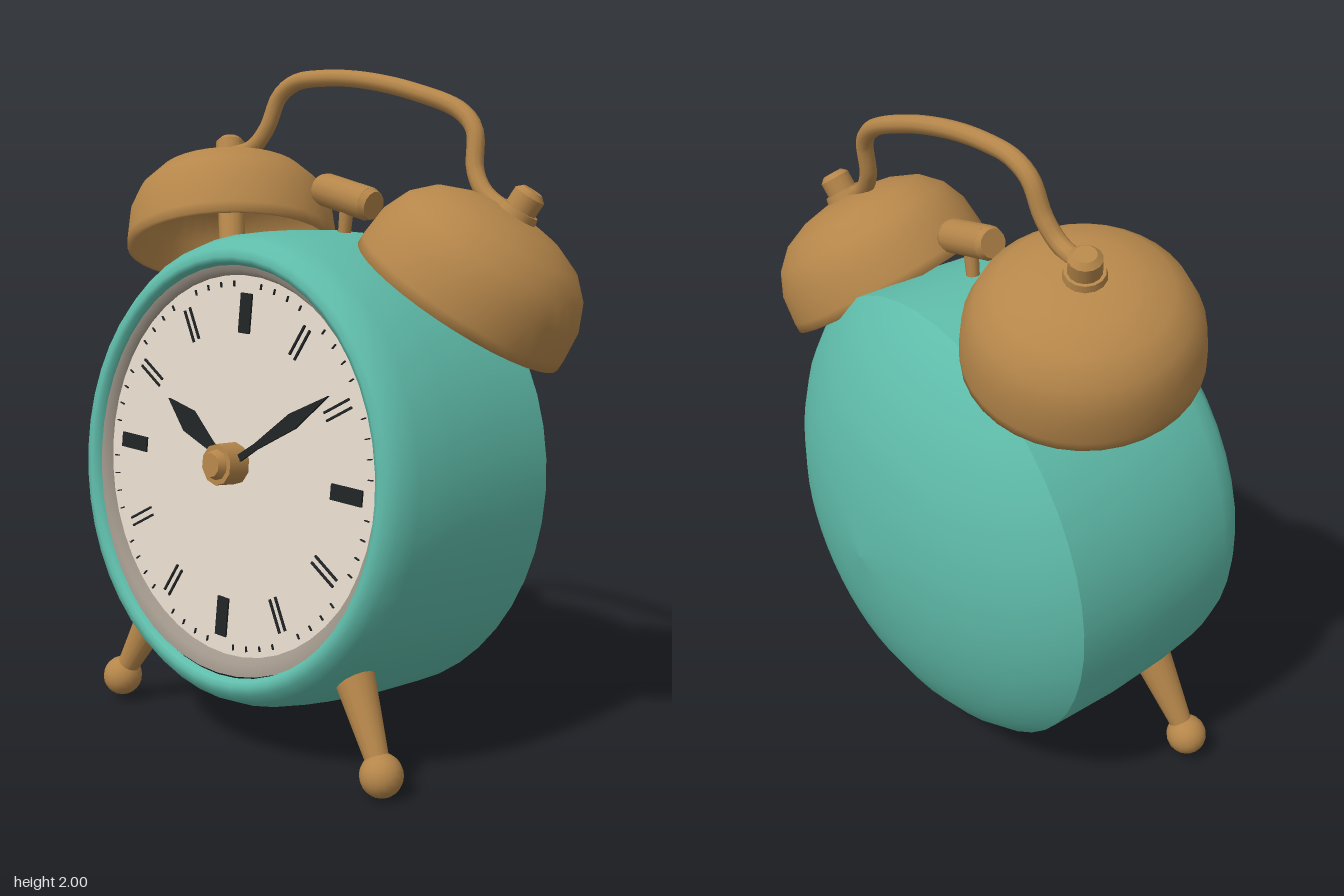
import * as THREE from 'three';

export function createModel() {
  const model = new THREE.Group();
  model.name = 'alarmClock';

  const mat = (name, color) => {
    const m = new THREE.MeshStandardMaterial({ color });
    m.name = name;
    return m;
  };
  const teal = mat('teal enamel', 0x5fbcaa);
  const brass = mat('brass', 0xb5864a);
  const cream = mat('cream dial', 0xe8ddcf);
  const black = mat('black marks', 0x202426);
  const grey = mat('bezel grey', 0xa0968a);

  const v3 = (p) => new THREE.Vector3(...p);
  const add = (parent, name, geometry, material) => {
    const mesh = new THREE.Mesh(geometry, material);
    mesh.name = name;
    parent.add(mesh);
    return mesh;
  };
  const lathe = (points, segments = 48) =>
    new THREE.LatheGeometry(points.map(([x, y]) => new THREE.Vector2(x, y)), segments);
  // Cylinder or cone running from point a to point b
  const rod = (parent, name, a, b, rA, rB, material, segments = 14) => {
    const start = v3(a), end = v3(b), dir = end.clone().sub(start);
    const mesh = add(parent, name,
      new THREE.CylinderGeometry(rB, rA, dir.length(), segments), material);
    mesh.position.copy(start).add(end).multiplyScalar(0.5);
    mesh.quaternion.setFromUnitVectors(new THREE.Vector3(0, 1, 0), dir.normalize());
    return mesh;
  };

  // Clock body, leaning back a little; local z = 0 is the front rim
  const clock = new THREE.Group();
  clock.name = 'clockBody';
  clock.position.set(-0.06, 0.857, 0.43);
  clock.rotation.set(-0.08, 0.015, 0);
  model.add(clock);

  const turned = (name, points, material) => {
    const mesh = add(clock, name, lathe(points), material);
    mesh.rotation.x = Math.PI / 2;
    return mesh;
  };
  // The case is slightly taller than wide and sits a little below the dial centre
  for (const part of [
    turned('backDome', [[0, -0.905], [0.15, -0.893], [0.3, -0.863], [0.43, -0.82],
      [0.55, -0.755], [0.635, -0.69], [0.687, -0.63]], teal),
    turned('caseSide', [[0.687, -0.63], [0.69, -0.42], [0.68, -0.22], [0.664, -0.09],
      [0.645, -0.035], [0.62, -0.005], [0.597, 0], [0.582, -0.006], [0.575, -0.025]], teal),
  ]) {
    part.scale.z = 1.035;
    part.position.y = -0.015;
  }
  turned('bezel', [[0.605, -0.022], [0.568, -0.024], [0.552, -0.052]], grey);

  const dial = add(clock, 'dial', new THREE.CircleGeometry(0.56, 48), cream);
  dial.position.z = -0.05;

  // Hour and minute marks
  const marks = new THREE.Group();
  marks.name = 'dialMarks';
  marks.position.z = -0.047;
  marks.rotation.z = -0.04;
  clock.add(marks);
  const mark = (name, angle, radius, length, width, side = 0) => {
    const m = add(marks, name, new THREE.BoxGeometry(length, width, 0.006), black);
    m.position.set(
      radius * Math.cos(angle) - side * Math.sin(angle),
      radius * Math.sin(angle) + side * Math.cos(angle), 0);
    m.rotation.z = angle;
  };
  for (let i = 0; i < 60; i++) {
    const angle = (i * Math.PI) / 30;
    if (i % 15 === 0) {
      mark('quarterMark', angle, 0.445, 0.115, 0.045);
    } else if (i % 5 === 0) {
      for (const side of [-0.012, 0.012]) mark('hourMark', angle, 0.447, 0.1, 0.006, side);
    } else {
      mark('minuteMark', angle, 0.528, 0.016, 0.003);
    }
  }

  // Leaf-shaped hands and their brass hub
  const hand = (name, x, y, width, z) => {
    const length = Math.hypot(x, y);
    const shape = new THREE.Shape([[0, -0.012], [0.3, -0.4 * width], [0.66, -width], [1, 0],
      [0.66, width], [0.3, 0.4 * width], [0, 0.012]].map(
      ([t, w]) => new THREE.Vector2(t * length, w)));
    const mesh = add(clock, name,
      new THREE.ExtrudeGeometry(shape, { depth: 0.008, bevelEnabled: false }), black);
    mesh.position.z = z;
    mesh.rotation.z = Math.atan2(y, x);
  };
  hand('hourHand', -0.275, 0.172, 0.037, -0.034);
  hand('minuteHand', 0.388, 0.247, 0.023, -0.022);
  rod(clock, 'handHub', [0, 0.01, -0.05], [0, 0.01, 0.022], 0.062, 0.06, brass, 10);
  rod(clock, 'hubCap', [0, 0.01, 0.022], [0, 0.01, 0.045], 0.045, 0.035, brass, 10);

  // Bells: thin cups with stem and knob, opening down and slightly forward
  const bell = (name, position, axis) => {
    const g = new THREE.Group();
    g.name = name;
    g.position.set(...position);
    g.quaternion.setFromUnitVectors(new THREE.Vector3(0, 1, 0), v3(axis).normalize());
    model.add(g);
    add(g, 'bellCup', lathe([[0, 0.265], [0.13, 0.245], [0.23, 0.19], [0.29, 0.11],
      [0.312, 0], [0.33, 0], [0.33, 0.03], [0.32, 0.12], [0.288, 0.19], [0.232, 0.245],
      [0.15, 0.28], [0.07, 0.295], [0, 0.298]], 36), brass);
    rod(g, 'bellStem', [0, -0.13, 0], [0, 0.27, 0], 0.04, 0.045, brass);
    rod(g, 'bellWasher', [0, 0.28, 0], [0, 0.315, 0], 0.062, 0.055, brass);
    rod(g, 'bellKnob', [0, 0.315, 0], [0, 0.36, 0], 0.046, 0.046, brass);
    rod(g, 'bellKnobTop', [0, 0.36, 0], [0, 0.375, 0], 0.046, 0.03, brass);
  };
  bell('rightBell', [-0.45, 1.455, 0.025], [-0.29, 0.92, -0.25]);
  bell('leftBell', [0.452, 1.33, -0.005], [0.46, 0.8, -0.23]);

  // Carrying handle between the two knobs
  const handlePath = new THREE.CatmullRomCurve3([
    [-0.53, 1.745, -0.04], [-0.42, 1.77, -0.04], [-0.37, 1.83, -0.055], [-0.33, 1.925, -0.07],
    [-0.27, 1.965, -0.08], [-0.15, 1.975, -0.085], [0, 1.965, -0.09], [0.2, 1.925, -0.095],
    [0.37, 1.865, -0.105], [0.425, 1.81, -0.1], [0.445, 1.7, -0.08], [0.49, 1.635, -0.07],
    [0.59, 1.575, -0.07]].map(v3));
  add(model, 'handle', new THREE.TubeGeometry(handlePath, 60, 0.026, 10), brass);

  // Hammer between the bells
  rod(model, 'hammerStem', [0, 1.46, -0.01], [0.018, 1.6, -0.01], 0.018, 0.022, brass, 10);
  rod(model, 'hammerHead', [-0.07, 1.642, -0.01], [0.105, 1.602, -0.01], 0.05, 0.05, brass);
  rod(model, 'hammerEnd', [-0.09, 1.647, -0.01], [-0.07, 1.642, -0.01], 0.042, 0.05, brass);
  rod(model, 'hammerEnd', [0.105, 1.602, -0.01], [0.125, 1.597, -0.01], 0.05, 0.042, brass);

  // Splayed feet with ball ends
  for (const [name, top, ball] of [
    ['rightFoot', [-0.505, 0.32, 0.31], [-0.642, 0.08, 0.35]],
    ['leftFoot', [0.35, 0.302, 0.31], [0.49, 0.063, 0.35]]]) {
    rod(model, name, top, ball, 0.06, 0.03, brass);
    add(model, name + 'Ball', new THREE.SphereGeometry(0.062, 18, 12), brass)
      .position.set(...ball);
  }

  return model;
}
